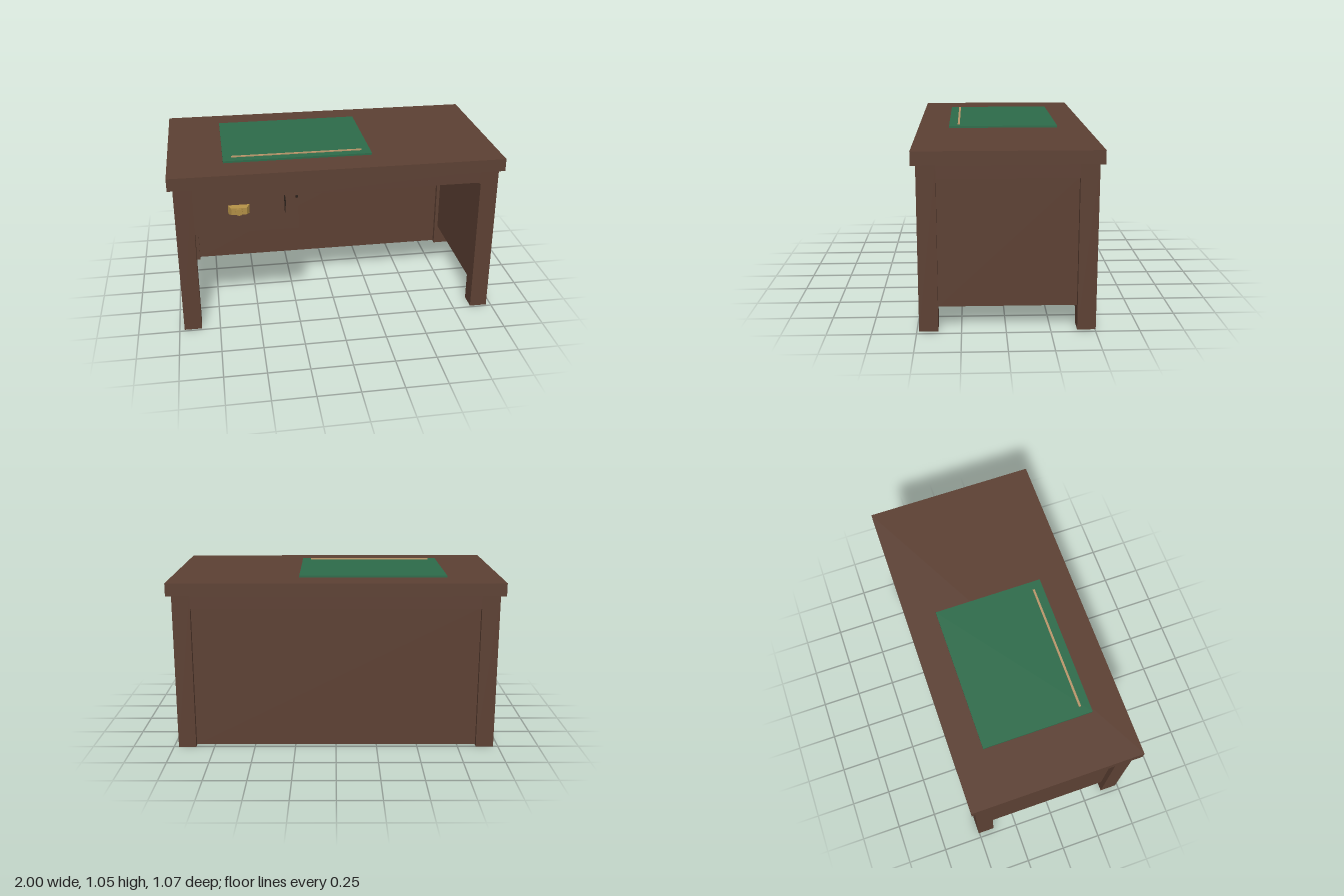
import * as THREE from 'three';

const mat = (color) => new THREE.MeshStandardMaterial({ color, flatShading: true });

export function createModel() {
  const desk = new THREE.Group();
  desk.name = 'desk';
  const wood = mat(0x5c4033), felt = mat(0x2d6b4a), brass = mat(0xb08d45);
  const tan = mat(0xb8966a), dark = mat(0x2a201a);

  const add = (name, geometry, material) => {
    const mesh = new THREE.Mesh(geometry, material);
    mesh.name = name;
    desk.add(mesh);
    return mesh;
  };
  // Box given by its extents along each axis
  const box = (name, material, [x0, x1], [y0, y1], [z0, z1]) => {
    const g = new THREE.BoxGeometry(x1 - x0, y1 - y0, z1 - z0);
    g.translate((x0 + x1) / 2, (y0 + y1) / 2, (z0 + z1) / 2);
    return add(name, g, material);
  };
  const span = (s, a, b) => (s > 0 ? [a, b] : [-b, -a]);

  box('tabletop', wood, [-1, 1], [0.953, 1.03], [-0.53, 0.513]);

  // Legs, side rails and recessed side panels
  for (const s of [1, -1]) {
    const side = s > 0 ? 'left' : 'right';
    const legX = span(s, 0.863, 0.97);
    box(side + 'FrontLeg', wood, legX, [0, 0.953], [0.38, 0.487]);
    box(side + 'BackLeg', wood, legX, [0, 0.953], [-0.505, -0.4]);
    box(side + 'Rail', wood, legX, [0.872, 0.953], [-0.4, 0.38]);
    box(side + 'Panel', wood, span(s, 0.885, 0.937), [0.135, 0.872], [-0.4, 0.38]);
  }

  // Back rail and recessed back panel
  box('backRail', wood, [-0.863, 0.863], [0.872, 0.953], [-0.505, -0.4]);
  box('backPanel', wood, [-0.863, 0.863], [0.005, 0.872], [-0.475, -0.43]);

  // Front apron, stepping down over the drawer, with a small eased corner
  const front = new THREE.Shape();
  [[-0.863, 0.655], [-0.25, 0.655], [-0.25, 0.875], [0.845, 0.875], [0.859, 0.868],
    [0.863, 0.855], [0.863, 0.953], [-0.863, 0.953]]
    .forEach(([x, y], i) => (i ? front.lineTo(x, y) : front.moveTo(x, y)));
  const apron = new THREE.ExtrudeGeometry(front, { depth: 0.07, bevelEnabled: false });
  add('frontApron', apron.translate(0, 0, 0.417), wood);

  // Drawer case behind the apron
  box('drawerCase', wood, [-0.863, -0.25], [0.655, 0.953], [-0.43, 0.417]);

  // Desk pad and pen strip
  box('deskPad', felt, [-0.672, 0.222], [1.03, 1.042], [-0.348, 0.323]);
  box('padStrip', tan, [-0.62, 0.168], [1.042, 1.048], [0.257, 0.27]);

  // Drawer pull: tapered plate and a faceted knob
  const plate = new THREE.BoxGeometry(0.125, 0.055, 0.033);
  const p = plate.attributes.position;
  for (let i = 0; i < p.count; i++) {
    if (p.getZ(i) > 0) p.setXY(i, p.getX(i) * 0.72, p.getY(i) * 0.76);
  }
  add('pullPlate', plate, brass).position.set(-0.598, 0.804, 0.5035);
  const knob = new THREE.CylinderGeometry(0.021, 0.021, 0.017, 12).rotateX(Math.PI / 2);
  add('pullKnob', knob, brass).position.set(-0.598, 0.804, 0.5275);

  // Thin dark sliver and tab beside the drawer
  const sliver = new THREE.Shape();
  sliver.moveTo(-0.332, 0.875);
  sliver.lineTo(-0.329, 0.745);
  sliver.lineTo(-0.321, 0.83);
  sliver.lineTo(-0.326, 0.875);
  const sliverGeo = new THREE.ExtrudeGeometry(sliver, { depth: 0.004, bevelEnabled: false });
  add('frontSliver', sliverGeo.translate(0, 0, 0.486), dark);
  box('frontTab', dark, [-0.264, -0.25], [0.858, 0.87], [0.486, 0.498]);

  return desk;
}
